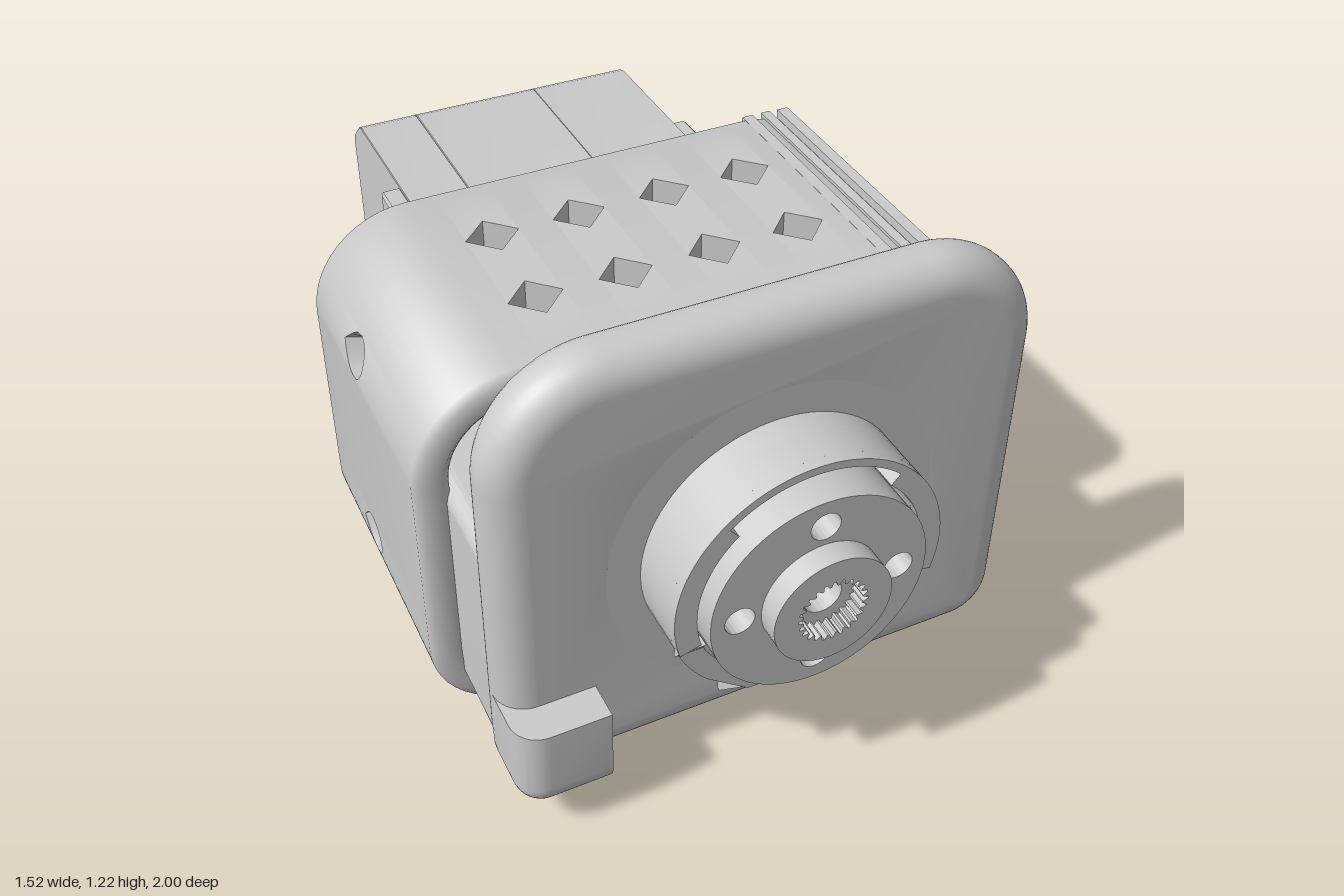
import * as THREE from 'three';
import { toCreasedNormals } from 'three/addons/utils/BufferGeometryUtils.js';
import { RoundedBoxGeometry } from 'three/addons/geometries/RoundedBoxGeometry.js';

const PI = Math.PI;
const HUB = [-0.055, 0.63];   // front hub centre (x, y)
const SHAFT = [0.73, 0.535];  // servo shaft centre (-z, y)

export function createModel() {
  const model = new THREE.Group();
  const mat = new THREE.MeshStandardMaterial({ color: 0xcccccc, side: THREE.DoubleSide });

  const add = (name, geo, x = 0, y = 0, z = 0) => {
    const m = new THREE.Mesh(geo, mat);
    m.name = name;
    m.position.set(x, y, z);
    model.add(m);
  };
  // Extrusion of an (x, y) shape between two z values
  const extrudeZ = (shape, z0, z1, b = 0) => toCreasedNormals(new THREE.ExtrudeGeometry(shape, {
    depth: z1 - z0 - 2 * b, bevelEnabled: b > 0, bevelThickness: b, bevelSize: b, bevelOffset: -b, bevelSegments: 1, curveSegments: 32,
  }).translate(0, 0, z0 + b), 0.6);
  // Extrusion of a (-z, y) shape between two x values
  const extrudeX = (shape, x0, x1, b) => extrudeZ(shape, x0, x1, b).rotateY(PI / 2);
  const poly = (pts) => new THREE.Shape(pts.map((p) => new THREE.Vector2(...p)));
  const circle = (x, y, r, C = THREE.Path) => new C().absarc(x, y, r, 0, 2 * PI, false);
  const rounded = (x0, y0, x1, y1, rb, rt) => new THREE.Shape()
    .absarc(x1 - rb, y0 + rb, rb, -PI / 2, 0)
    .absarc(x1 - rt, y1 - rt, rt, 0, PI / 2)
    .absarc(x0 + rt, y1 - rt, rt, PI / 2, PI)
    .absarc(x0 + rb, y0 + rb, rb, PI, 1.5 * PI);
  const gear = (x, y, r, depth, teeth) => {
    const pts = [];
    for (let i = 0; i < teeth * 4; i++) {
      const a = (i / (teeth * 4)) * 2 * PI, q = i % 4 < 2 ? r : r - depth;
      pts.push([x + q * Math.cos(a), y + q * Math.sin(a)]);
    }
    return poly(pts);
  };

  add('shell', shellGeometry());

  // Grooved rail on the upper left corner, its front end chamfered
  const rail = extrudeZ(poly([[0.41, 0.93], [0.41, 1], [0.44, 1], [0.44, 0.98], [0.465, 0.98], [0.465, 1],
    [0.49, 1], [0.49, 0.975], [0.513, 0.975], [0.513, 0.998], [0.543, 0.998], [0.543, 0.93]]), -0.32, 0.43);
  const rp = rail.attributes.position;
  for (let i = 0; i < rp.count; i++) {
    if (rp.getZ(i) > 0) rp.setZ(i, 0.43 - 0.65 * Math.max(0, rp.getY(i) - 0.94));
  }
  add('groovedRail', rail);

  // Pair of cable hooks on the left wall, tapering toward the front
  for (const s of [1, -1]) {
    const Y = (d) => 0.365 + s * d;
    const hook = poly([[0.63, Y(0.165)], [0.74, Y(0.165)], [0.76, Y(0.145)], [0.76, Y(0.035)],
      [0.74, Y(0.035)], [0.72, Y(0.06)], [0.685, Y(0.072)], [0.655, Y(0.065)], [0.63, Y(0.045)]]);
    const g = new THREE.ExtrudeGeometry(hook, { depth: 0.24, steps: 2, bevelEnabled: false }).translate(0, 0, -0.19);
    const p = g.attributes.position;
    for (let i = 0; i < p.count; i++) p.setX(i, Math.min(p.getX(i), 0.65 + 0.05 - p.getZ(i)));
    add('cableHook', toCreasedNormals(g, 0.6));
  }

  // Spacer blocks to the front plate, and liners inside the shell beside the servo
  for (const [x0, x1] of [[-0.69, -0.29], [0.15, 0.555]]) {
    add('spacerBlock', extrudeZ(rounded(x0, 0.09, x1, 0.73, 0.09, 0.04), 0.27, 0.64));
  }
  add('rightLiner', new RoundedBoxGeometry(0.23, 0.64, 0.55, 4, 0.05), -0.575, 0.41, 0.05);
  add('leftLiner', new THREE.BoxGeometry(0.24, 0.58, 0.55), 0.46, 0.54, 0.015);

  // Front plate with fully rounded rim and a round recess at the back
  const plate = rounded(-0.62, 0.17, 0.515, 1.135, 0.04, 0.19);
  plate.holes.push(circle(...HUB, 0.4));
  add('frontPlate', toCreasedNormals(new THREE.ExtrudeGeometry(plate, {
    depth: 0.01, bevelThickness: 0.075, bevelSize: 0.08, bevelSegments: 10, curveSegments: 24,
  }).translate(0, 0, 0.655), 0.7));
  add('recessFloor', extrudeZ(circle(...HUB, 0.4, THREE.Shape), 0.68, 0.74));

  // Corner foot, rounded on its outer edges and square on the inner ones
  const foot = new RoundedBoxGeometry(0.3, 0.33, 0.24, 5, 0.07).translate(-0.55, 0.255, 0.71);
  const fp = foot.attributes.position;
  for (let i = 0; i < fp.count; i++) fp.setXY(i, Math.min(fp.getX(i), -0.485), Math.min(fp.getY(i), 0.335));
  add('cornerFoot', toCreasedNormals(foot, 0.6));

  // Hub collar narrowing into a lower lip, with a raised upper rim
  const collar = new THREE.Shape()
    .absarc(...HUB, 0.32, -PI / 4, 1.25 * PI)
    .lineTo(-0.18, 0.325).lineTo(0.07, 0.325);
  add('hubFloor', extrudeZ(collar.clone(), 0.7, 0.8));
  const notched = (p) => p.absarc(...HUB, 0.3, 0.27 * PI, 0.73 * PI);
  collar.holes.push(notched(new THREE.Path()).absarc(...HUB, 0.268, 0.73 * PI, 2.27 * PI));
  add('hubCollar', extrudeZ(collar, 0.8, 0.88));
  const rim = new THREE.Shape().absarc(...HUB, 0.32, -0.095 * PI, 1.095 * PI)
    .absarc(...HUB, 0.268, 1.095 * PI, 0.73 * PI, true)
    .absarc(...HUB, 0.3, 0.73 * PI, 0.27 * PI, true)
    .absarc(...HUB, 0.268, 0.27 * PI, -0.095 * PI, true);
  add('hubRim', extrudeZ(rim, 0.88, 0.905));
  add('rimSlope', new THREE.CylinderGeometry(0.302, 0.268, 0.105, 32, 1, true, 0.77 * PI, 0.46 * PI).rotateX(PI / 2), ...HUB, 0.85);
  for (const s of [-1, 1]) {
    const x = HUB[0] + s * 0.275;
    add('rimRamp', extrudeX(poly([[-0.875, 0.51], [-0.875, 0.545], [-0.905, 0.545], [-0.88, 0.51]]), x - 0.03, x + 0.03));
  }
  add('hubLip', extrudeX(poly([[-0.72, 0.18], [-0.72, 0.36], [-0.879, 0.36], [-0.879, 0.33], [-0.75, 0.18]]), -0.18, 0.07));

  // Output disc with four screw holes and a splined boss
  const disc = circle(...HUB, 0.258, THREE.Shape);
  for (let i = 0; i < 4; i++) {
    const a = i * PI / 2;
    disc.holes.push(circle(HUB[0] + 0.19 * Math.cos(a), HUB[1] + 0.19 * Math.sin(a), 0.035));
  }
  disc.holes.push(circle(...HUB, 0.085));
  add('outputDisc', extrudeZ(disc, 0.8, 0.945));
  const boss = circle(...HUB, 0.14, THREE.Shape);
  boss.holes.push(gear(...HUB, 0.083, 0.012, 24));
  add('splinedBoss', extrudeZ(boss, 0.93, 1.0));
  const core = circle(...HUB, 0.085, THREE.Shape);
  core.holes.push(circle(...HUB, 0.045));
  add('bossCore', extrudeZ(core, 0.8, 0.955));

  // Servo case in slices along x, leaving fine seams; the last slice is notched
  const caseStart = [[-0.21, 0.205], [0.91, 0.205], [0.935, 0.215], [0.99, 0.265], [1.0, 0.29]];
  const caseEnd = caseStart.map(([a, y]) => [a, 1.075 - y]).reverse();
  const notch = [[1.0, 0.51], [0.88, 0.51], [0.88, 0.565], [1.0, 0.565]];
  for (const [x0, x1, b, cut] of [[-0.45, -0.29, 0.002], [-0.29, 0.06, 0.002], [0.06, 0.3, 0], [0.3, 0.335, 0, true]]) {
    add('servoCase', extrudeX(poly([...caseStart, ...(cut ? notch : []), ...caseEnd]), x0, x1, b));
  }

  // Mounting brackets with two ears; the right one curves around the shaft
  for (const [x0, x1, curved] of [[0.325, 0.375], [-0.5, -0.445, true]]) {
    const br = new THREE.Shape().moveTo(0.27, 0.21).lineTo(0.58, 0.21).lineTo(0.58, 0.275);
    if (curved) br.absarc(...SHAFT, 0.32, 1.26 * PI, 0.74 * PI, true);
    else br.lineTo(0.5, 0.36).lineTo(0.43, 0.36).lineTo(0.43, 0.715).lineTo(0.5, 0.715);
    br.lineTo(0.58, 0.8).lineTo(0.58, 0.865).lineTo(0.27, 0.865);
    for (const y of [0.26, 0.815]) br.holes.push(circle(0.5, y, 0.025));
    br.holes.push(poly([[0.295, 0.26], [0.39, 0.26], [0.39, 0.81], [0.295, 0.81]]));
    add('mountingBracket', extrudeX(br, x0, x1, 0.006));
  }

  // Servo shaft: splined on the right, plain idler on the left
  const spline = gear(...SHAFT, 0.08, 0.014, 24);
  spline.holes.push(circle(...SHAFT, 0.04));
  add('splinedShaft', extrudeX(spline, -0.535, -0.44));
  const idler = circle(...SHAFT, 0.08, THREE.Shape);
  idler.holes.push(circle(...SHAFT, 0.035));
  add('idlerShaft', extrudeX(idler, 0.33, 0.445, 0.005));
  return model;
}

// Sleeve wall: columns swept round a rounded rectangle, split in z around each hole
function shellGeometry() {
  const cx = -0.056, cy = 0.5, hw = 0.707, hh = 0.5, r = 0.25, wall = 0.085, fillet = 0.018;
  const a = 2 * (hw - r), b = 2 * (hh - r), arc = r * PI / 2;
  const starts = [0, a + arc, a + b + 2 * arc, 2 * a + b + 3 * arc], total = 2 * (a + b) + 4 * arc;

  // Point on the outline at length s, at some depth below the surface
  const at = (s, z, depth) => {
    let i = 3;
    while (s < starts[i] - 1e-9) i--;
    const len = i % 2 ? b : a, d = s - starts[i];
    const t0 = (i - 1) * PI / 2, t = t0 + Math.max(0, d - len) / r;
    const back = Math.max(0, len - d); // distance still to go along the straight
    const sx = [1, 1, -1, -1][i], sy = [-1, 1, 1, -1][i];
    return [cx + sx * (hw - r) + (r - depth) * Math.cos(t) + back * Math.sin(t0),
      cy + sy * (hh - r) + (r - depth) * Math.sin(t) - back * Math.cos(t0), z];
  };

  // Diamond holes above and below, teardrop holes in the sides
  const holes = [];
  for (const x of [-0.375, -0.155, 0.07, 0.29]) for (const z of [-0.08, 0.19]) {
    holes.push({ s: x - cx + a / 2, z, r: 0.066 }, { s: starts[2] + a / 2 + cx - x, z, r: 0.066 });
  }
  for (const y of [0.27, 0.825]) {
    holes.push({ s: starts[1] + y - 0.25, z: 0.13, r: 0.055, drop: true });
    holes.push({ s: starts[3] + 0.75 - y, z: 0, r: 0.055, drop: true });
  }
  // Edge of a hole toward the front (dir 1) or the back (dir -1)
  const edge = (h, s, dir) => {
    const d = Math.min(h.r, Math.abs(s - h.s));
    if (!h.drop) return h.z + dir * (h.r - d);
    const round = Math.sqrt(h.r * h.r - d * d);
    return h.z + dir * (dir < 0 && d < 0.7 * h.r ? 1.414 * h.r - d : round);
  };

  const cutA = starts[1], cutB = starts[1] + 0.58; // rear cut-out of the left wall
  const stops = [cutA, cutB, total];
  starts.forEach((s, i) => {
    stops.push(s);
    for (let k = 0; k <= 12; k++) stops.push(s + (i % 2 ? b : a) + arc * k / 12);
  });
  for (const h of holes) for (const f of [-1, -0.9, -0.7, -0.35, 0, 0.35, 0.7, 0.9, 1]) stops.push(h.s + f * h.r);
  stops.sort((p, q) => p - q);

  const pos = [];
  const quad = (p, q, u, v) => pos.push(...p, ...q, ...u, ...p, ...u, ...v);
  for (let i = 1; i < stops.length; i++) {
    const s0 = stops[i - 1], s1 = stops[i], mid = (s0 + s1) / 2;
    if (s1 - s0 < 1e-5) continue;
    const back = mid > cutA && mid < cutB ? -0.26 : -0.32;
    const edges = [[back, back]];
    for (const h of holes.filter((o) => Math.abs(mid - o.s) < o.r).sort((p, q) => p.z - q.z)) {
      for (const dir of [-1, 1]) edges.push([edge(h, s0, dir), edge(h, s1, dir)]);
    }
    edges.push([0.43, 0.43]);
    for (let k = 0; k < edges.length; k += 2) {
      // Closed section from back to front along the outside and returning inside
      const f0 = k === 0 ? fillet : 0, f1 = k === edges.length - 2 ? fillet : 0;
      const section = (s, j) => {
        const l = edges[k][j], u = edges[k + 1][j];
        return [[l, f0], [l + f0, 0], [u - f1, 0], [u, f1], [u, wall - f1], [u - f1, wall], [l + f0, wall], [l, wall - f0]]
          .map(([z, d]) => at(s, z, d));
      };
      const p = section(s0, 0), q = section(s1, 1);
      p.forEach((_, n) => quad(p[n], q[n], q[(n + 1) % 8], p[(n + 1) % 8]));
    }
  }
  const g = new THREE.BufferGeometry();
  g.setAttribute('position', new THREE.Float32BufferAttribute(pos, 3));
  return toCreasedNormals(g, 0.9);
}
